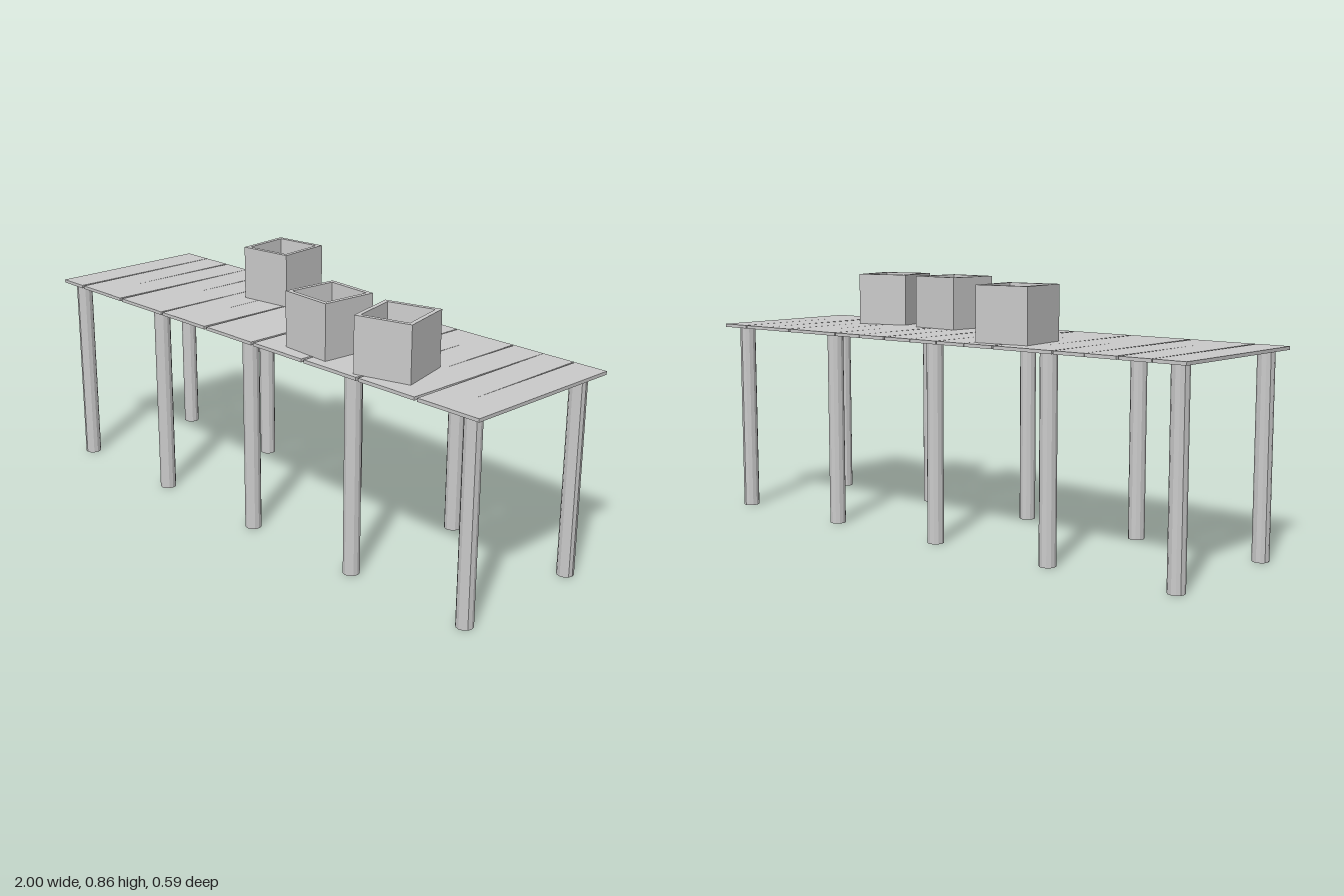
import * as THREE from 'three';

const material = new THREE.MeshStandardMaterial({ color: 0xcccccc, flatShading: true });

function add(parent, name, geometry, x, y, z, turn = 0) {
  const mesh = new THREE.Mesh(geometry, material);
  mesh.name = name;
  mesh.position.set(x, y, z);
  mesh.rotation.y = turn;
  parent.add(mesh);
  return mesh;
}

export function createModel() {
  const table = new THREE.Group();
  table.name = 'plankTable';

  // Table top: planks skewed alternately, leaving tapered gaps.
  // Each number is how far past the middle a gap runs before it closes.
  const gapReach = [0.36, 0.13, 0.36, 0.04, 0.17, 0.09, 0.36, 0, 0.36, 0.1, 0.36, 0, 0.2, 0.05, 0.36, 0.13];
  const skew = 0.00875, pitch = 2 / 17, depth = 0.588, thick = 0.011;
  const planks = new THREE.Group();
  planks.name = 'tableTop';
  table.add(planks);
  for (let i = 0; i < 17; i++) {
    const left = -1 + i * pitch + (i > 0 ? gapReach[i - 1] * skew : 0.001);
    const right = -1 + (i + 1) * pitch - (i < 16 ? gapReach[i] * skew : 0.001);
    const turn = (i % 2 ? 1 : -1) * skew * (i % 16 ? 1 : 0.4);
    add(planks, 'plank', new THREE.BoxGeometry(right - left, thick, depth),
      (left + right) / 2, 0.6745, 0, turn);
  }

  // Two rows of round posts
  const post = new THREE.CylinderGeometry(0.028, 0.028, 0.67, 12);
  for (const z of [0.246, -0.24])
    for (let i = 0; i < 5; i++) add(table, 'leg', post, -0.945 + i * 0.471, 0.335, z);

  // Open square boxes: four-sided lathe with slightly sloping inner walls
  const profile = [[0, 0], [0.0963, 0], [0.0963, 0.183], [0.081, 0.183], [0.071, 0.02], [0, 0.02]]
    .map(([r, y]) => new THREE.Vector2(r * Math.SQRT2, y));
  const box = new THREE.LatheGeometry(profile, 4, Math.PI / 4);
  for (const [x, z, turn] of [[-0.272, -0.143, 0.12], [0.267, 0.155, -0.067], [0.566, 0.16, 0.265]])
    add(table, 'openBox', box, x, 0.68, z, turn);

  return table;
}
